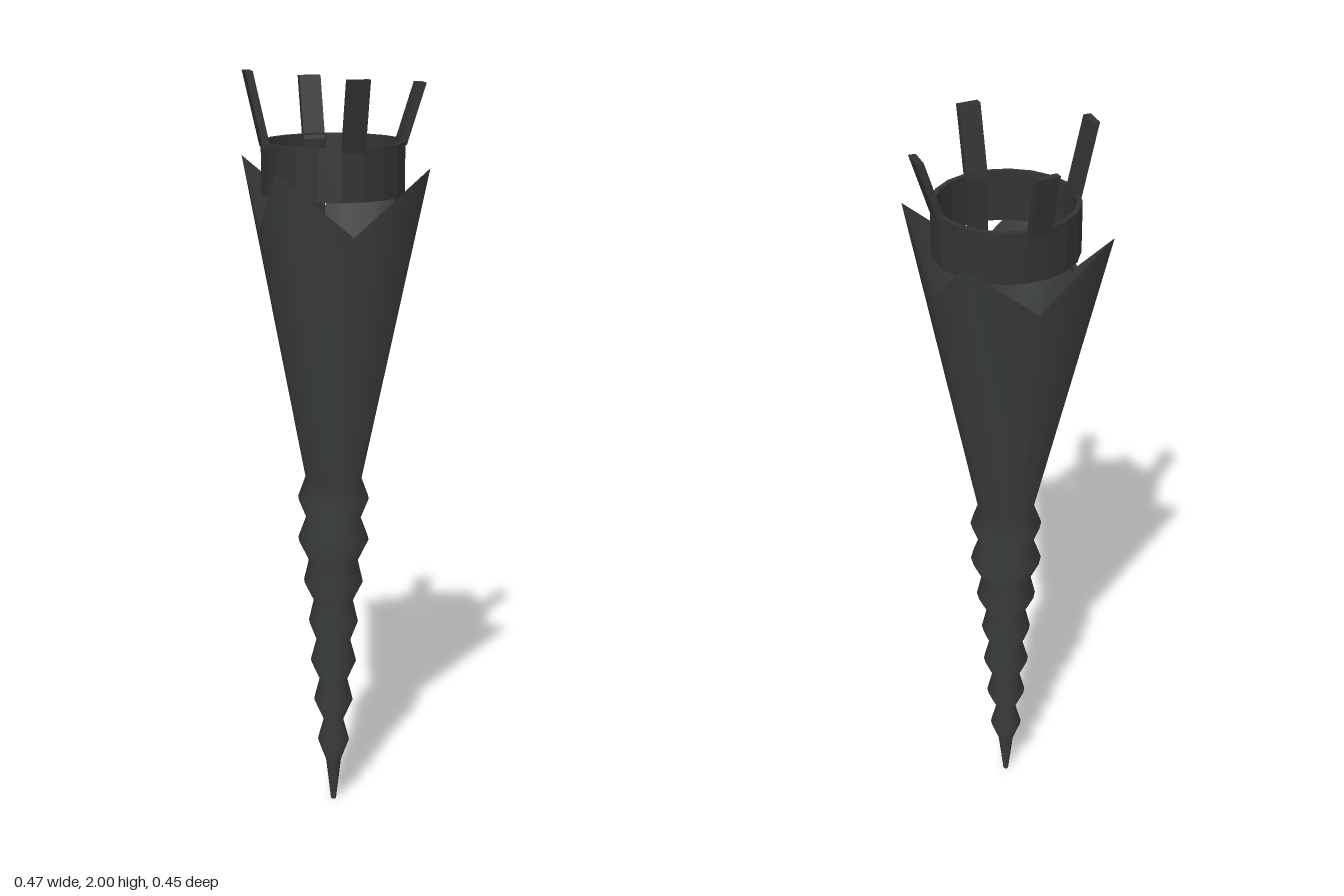
import * as THREE from 'three';
import { mergeVertices } from 'three/addons/utils/BufferGeometryUtils.js';

const CENTRE = [-0.0065, -0.003];
const SIDES = 16;
const rad = THREE.MathUtils.degToRad;

// Tapered body: ribbed spike flaring into a square cup with a V-notched rim
function bodyGeometry() {
  const profile = [
    [0, 0], [0.007, 0], [0.021, 0.12], [0.043, 0.18], [0.027, 0.24], [0.053, 0.3],
    [0.038, 0.36], [0.062, 0.415], [0.046, 0.475], [0.067, 0.53], [0.053, 0.59],
    [0.08, 0.645], [0.066, 0.705], [0.095, 0.765], [0.073, 0.825], [0.095, 0.88],
    [0.075, 0.935], [0.2, 1.7],
  ].map(([r, y]) => new THREE.Vector2(r, y));
  const geo = new THREE.LatheGeometry(profile, SIDES, rad(54));
  const pos = geo.attributes.position;
  const rows = profile.length, half = 0.195;
  for (let i = 0; i <= SIDES; i++) {
    const phi = rad(54) + (i / SIDES) * Math.PI * 2;
    // Angle from the middle of the nearest side of the square
    const a = ((i % 4) / 4) * (Math.PI / 2) - Math.PI / 4;
    const r = half / Math.cos(a);
    const y = 1.605 + 0.165 * Math.abs(Math.tan(a));
    pos.setXYZ(i * rows + rows - 1, r * Math.sin(phi), y, r * Math.cos(phi));
  }
  geo.deleteAttribute('uv');
  geo.deleteAttribute('normal');
  const merged = mergeVertices(geo, 1e-5);
  merged.computeVertexNormals();
  return merged;
}

// Flat band with a wall thickness
function ringGeometry() {
  const p = [[0.171, 1.69], [0.184, 1.69], [0.184, 1.823], [0.171, 1.823], [0.171, 1.69]]
    .map(([r, y]) => new THREE.Vector2(r, y));
  return new THREE.LatheGeometry(p, 20).toNonIndexed();
}

// Leaning bar: a box whose top is pushed outward (+z)
function prongGeometry(top, lean) {
  const bottom = 1.81, width = 0.057;
  const geo = new THREE.BoxGeometry(width, top - bottom, 0.019);
  geo.translate(0, (top + bottom) / 2, 0.175);
  const pos = geo.attributes.position;
  for (let i = 0; i < pos.count; i++) {
    if (pos.getY(i) > 1.9) pos.setZ(i, pos.getZ(i) + lean);
  }
  geo.computeVertexNormals();
  return geo;
}

export function createModel() {
  const model = new THREE.Group();
  model.name = 'wallTorch';
  const bodyMat = new THREE.MeshStandardMaterial({ color: 0x3a3e3a, side: THREE.DoubleSide });
  const ironMat = new THREE.MeshStandardMaterial({ color: 0x333333, flatShading: true });

  const add = (name, geo, mat, parent = model) => {
    const mesh = new THREE.Mesh(geo, mat);
    mesh.name = name;
    parent.add(mesh);
    return mesh;
  };

  add('body', bodyGeometry(), bodyMat);
  add('ring', ringGeometry(), ironMat);

  // Four prongs, each with an inward-facing strap running down to its notch
  const prongs = [
    ['frontProng', 10, 1.99, 0.042],
    ['leftProng', 96, 1.965, 0.05],
    ['backProng', 191, 1.97, 0.04],
    ['rightProng', 275.5, 2.0, 0.043],
  ];
  for (const [name, angle, top, lean] of prongs) {
    const group = new THREE.Group();
    group.name = name;
    group.rotation.y = rad(angle);
    add('bar', prongGeometry(top, lean), ironMat, group);
    const strap = new THREE.PlaneGeometry(0.057, 0.215);
    strap.rotateY(Math.PI).translate(0, 1.7175, 0.168);
    add('strap', strap, ironMat, group);
    model.add(group);
  }

  for (const part of model.children) part.position.set(CENTRE[0], 0, CENTRE[1]);
  return model;
}
